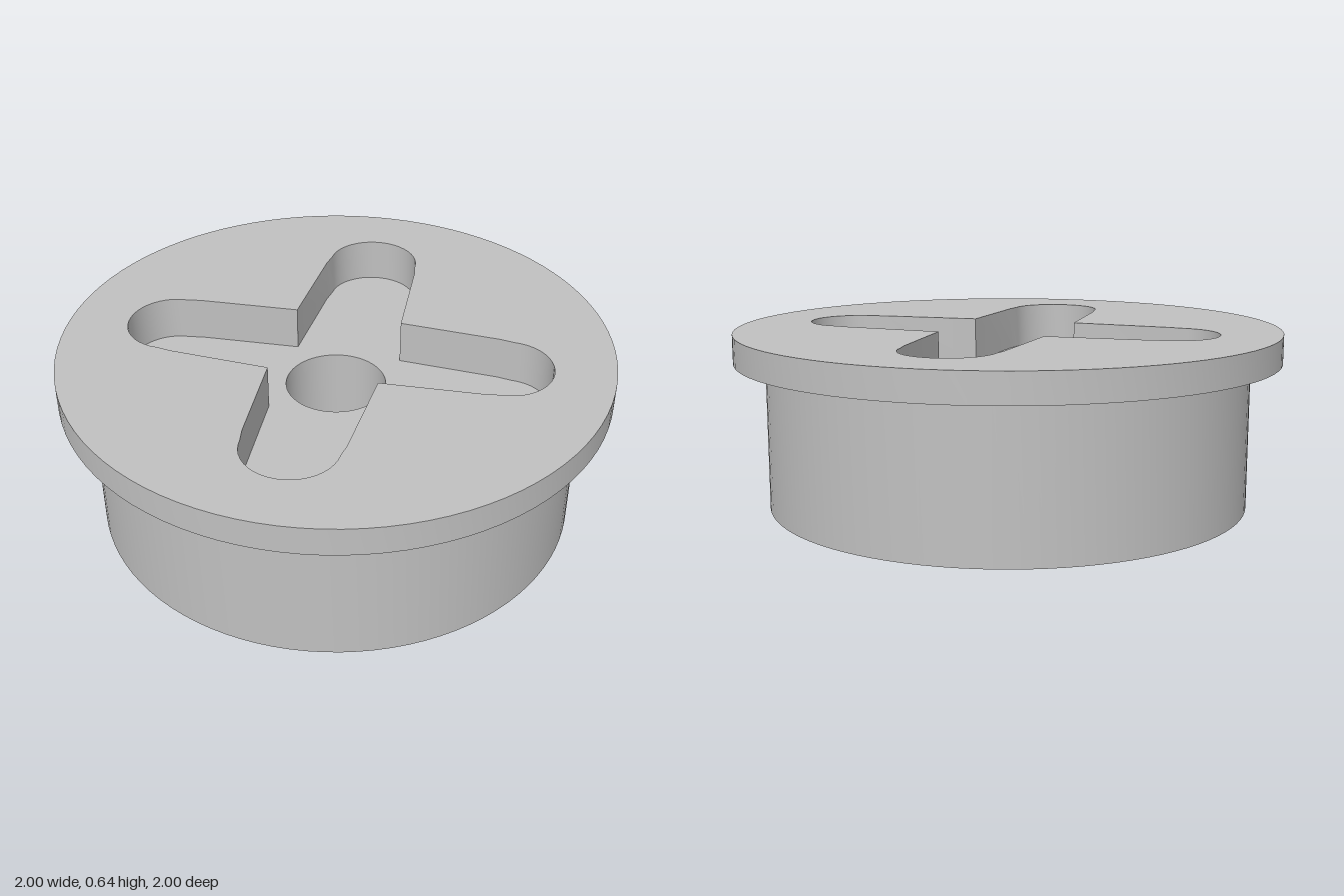
import * as THREE from 'three';
import { toCreasedNormals } from 'three/addons/utils/BufferGeometryUtils.js';

const HEIGHT = 0.645, FLANGE_Y = 0.54, FLOOR_Y = 0.48;
const FLANGE_R = 1, BODY_R = 0.887, BORE_R = 0.183, POCKET_R = 0.146, POCKET_DIST = 0.633;
const ARC = 48; // divisions per half circle

export function createModel() {
  const group = new THREE.Group();
  const grey = new THREE.MeshStandardMaterial({ color: 0xc0c0c0 });
  grey.name = 'grey plastic';

  const add = (name, geometry) => {
    const mesh = new THREE.Mesh(geometry, grey);
    mesh.name = name;
    group.add(mesh);
    return mesh;
  };
  const turned = (profile) => toCreasedNormals(
    new THREE.LatheGeometry(profile.map(([r, y]) => new THREE.Vector2(r, y)), ARC * 2), 0.6);
  const circle = (Kind, r, x = 0, y = 0) => new Kind().absarc(x, y, r, 0, Math.PI * 2, false);
  const plate = (shape, y, up) =>
    new THREE.ShapeGeometry(shape, ARC).rotateX(up ? -Math.PI / 2 : Math.PI / 2).translate(0, y, 0);

  // Cross outline: four tapering arms with rounded ends, counterclockwise
  const cross = [];
  for (let k = 0; k < 4; k++) {
    const arm = [new THREE.Vector2(0.198, -0.198), new THREE.Vector2(0.57, -0.177)];
    for (let i = 0; i <= 20; i++) {
      const a = -Math.PI / 2 + (Math.PI * i) / 20;
      arm.push(new THREE.Vector2(0.623 + 0.162 * Math.cos(a), 0.168 * Math.sin(a)));
    }
    arm.push(new THREE.Vector2(0.57, 0.177));
    for (const p of arm) cross.push(p.rotateAround(new THREE.Vector2(), (k * Math.PI) / 2));
  }

  // Outer drum and flange
  add('drumAndFlange', turned([[BODY_R, 0], [BODY_R, FLANGE_Y], [FLANGE_R, FLANGE_Y], [FLANGE_R, HEIGHT]]));

  // Top face with the cross cut out
  const top = circle(THREE.Shape, FLANGE_R);
  top.holes.push(new THREE.Path(cross));
  add('topFace', plate(top, HEIGHT, true));

  // Recess floor with the bore cut out
  const floor = new THREE.Shape(cross);
  floor.holes.push(circle(THREE.Path, BORE_R));
  add('recessFloor', plate(floor, FLOOR_Y, true));

  // Recess walls, facing inward
  const wall = [];
  cross.forEach((p, i) => {
    const q = cross[(i + 1) % cross.length];
    const pb = [p.x, FLOOR_Y, -p.y], pt = [p.x, HEIGHT, -p.y];
    const qb = [q.x, FLOOR_Y, -q.y], qt = [q.x, HEIGHT, -q.y];
    wall.push(...pb, ...qt, ...qb, ...pb, ...pt, ...qt);
  });
  const wallGeometry = new THREE.BufferGeometry();
  wallGeometry.setAttribute('position', new THREE.Float32BufferAttribute(wall, 3));
  add('recessWall', toCreasedNormals(wallGeometry, 0.6));

  // Central bore
  add('bore', turned([[BORE_R, FLOOR_Y], [BORE_R, 0]]));

  // Underside with the bore and four diagonal blind holes
  const base = circle(THREE.Shape, BODY_R);
  base.holes.push(circle(THREE.Path, BORE_R));
  for (let k = 0; k < 4; k++) {
    const a = Math.PI / 4 + (k * Math.PI) / 2;
    const x = POCKET_DIST * Math.cos(a), z = POCKET_DIST * Math.sin(a);
    base.holes.push(circle(THREE.Path, POCKET_R, x, z));
    add('blindHole' + (k + 1), turned([[0, FLANGE_Y], [POCKET_R, FLANGE_Y], [POCKET_R, 0]])).position.set(x, 0, z);
  }
  add('underside', plate(base, 0, false));

  return group;
}
